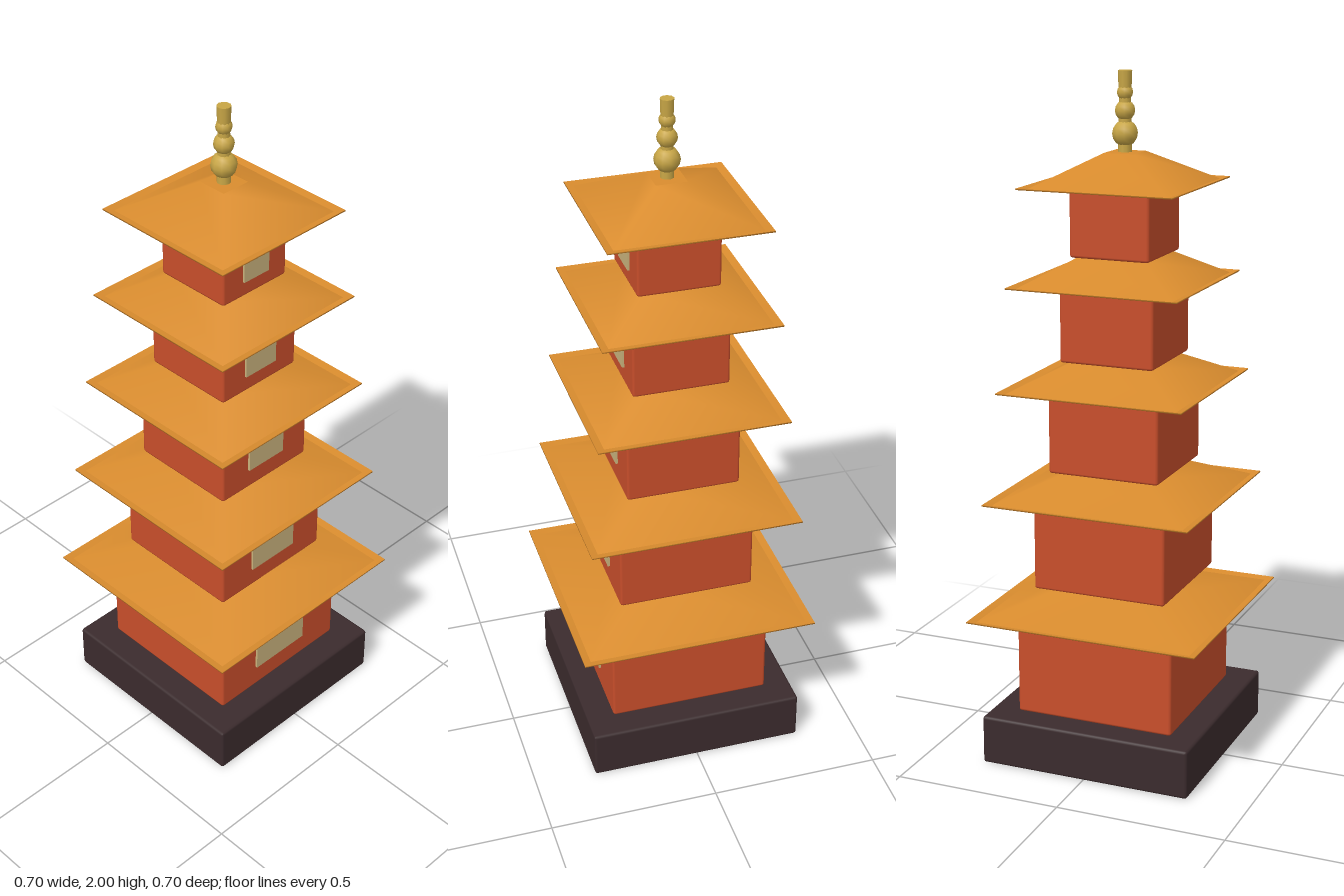
import * as THREE from 'three';
import { RoundedBoxGeometry } from 'three/addons/geometries/RoundedBoxGeometry.js';
import { mergeGeometries } from 'three/addons/utils/BufferGeometryUtils.js';

const paint = (name, color) => {
  const m = new THREE.MeshStandardMaterial({ color });
  m.name = name;
  return m;
};

// Surface with a square plan, swept from [half width, height] points
function squareLathe(points) {
  const profile = points.map(([r, y]) => new THREE.Vector2(r * Math.SQRT2, y));
  return new THREE.LatheGeometry(profile, 4, Math.PI / 4);
}

// Sloping roof with a thin, slightly upturned eave and a closed underside
function roofGeometry(half, topHalf, rise) {
  const valley = half - 0.022;
  return mergeGeometries([
    squareLathe([[0, 0], [half * 0.6, 0], [half, 0.003], [half, 0.007]]),
    squareLathe([[half, 0.007], [valley, 0.002]]),
    squareLathe([[valley, 0.002], [topHalf, rise]]),
    squareLathe([[topHalf, rise], [0, rise + 0.001]]),
  ]);
}

export function createModel() {
  const group = new THREE.Group();
  const stone = paint('dark stone', 0x3b2b2d);
  const red = paint('red wall', 0xc84e2b);
  const amber = paint('amber roof', 0xd98c2e);
  const cream = paint('cream window', 0xc9b27c);
  const gold = paint('gold', 0xc8a646);

  const add = (parent, name, geometry, material, y = 0, z = 0) => {
    const mesh = new THREE.Mesh(geometry, material);
    mesh.name = name;
    mesh.position.set(0, y, z);
    parent.add(mesh);
  };
  const block = (half, h) => new RoundedBoxGeometry(half * 2, h, half * 2, 1, 0.008);

  add(group, 'base', block(0.32, 0.145), stone, 0.0725);

  // Storeys: wall half width, bottom, top; window half width, bottom, top;
  // roof half width, roof top half width, roof rise
  const storeys = [
    [0.24, 0.145, 0.44, 0.1, 0.22, 0.37, 0.35, 0.12, 0.08],
    [0.202, 0.52, 0.787, 0.085, 0.585, 0.725, 0.312, 0.116, 0.08],
    [0.168, 0.865, 1.11, 0.068, 0.93, 1.05, 0.279, 0.11, 0.08],
    [0.142, 1.188, 1.408, 0.058, 1.24, 1.355, 0.255, 0.1, 0.08],
    [0.12, 1.487, 1.683, 0.047, 1.535, 1.635, 0.23, 0.045, 0.092],
  ];
  storeys.forEach(([wall, y0, y1, win, w0, w1, eave, ridge, rise], i) => {
    const storey = new THREE.Group();
    storey.name = `storey${i + 1}`;
    add(storey, 'walls', block(wall, y1 - y0), red, (y0 + y1) / 2);
    add(storey, 'window', new THREE.BoxGeometry(win * 2, w1 - w0, 0.009), cream,
      (w0 + w1) / 2, wall + 0.002);
    add(storey, 'roof', roofGeometry(eave, ridge, rise), amber, y1);
    group.add(storey);
  });

  // Finial: stacked beads on a rod
  const finial = new THREE.Group();
  finial.name = 'finial';
  add(finial, 'rod', new THREE.CylinderGeometry(0.016, 0.02, 0.2, 10), gold, 1.86);
  add(finial, 'largeBead', new THREE.SphereGeometry(0.037, 10, 8), gold, 1.827);
  add(finial, 'middleBead', new THREE.SphereGeometry(0.029, 10, 8), gold, 1.89);
  add(finial, 'smallBead', new THREE.SphereGeometry(0.023, 10, 8), gold, 1.94);
  add(finial, 'tip', new THREE.CylinderGeometry(0.02, 0.018, 0.055, 10), gold, 1.9725);
  group.add(finial);

  return group;
}
